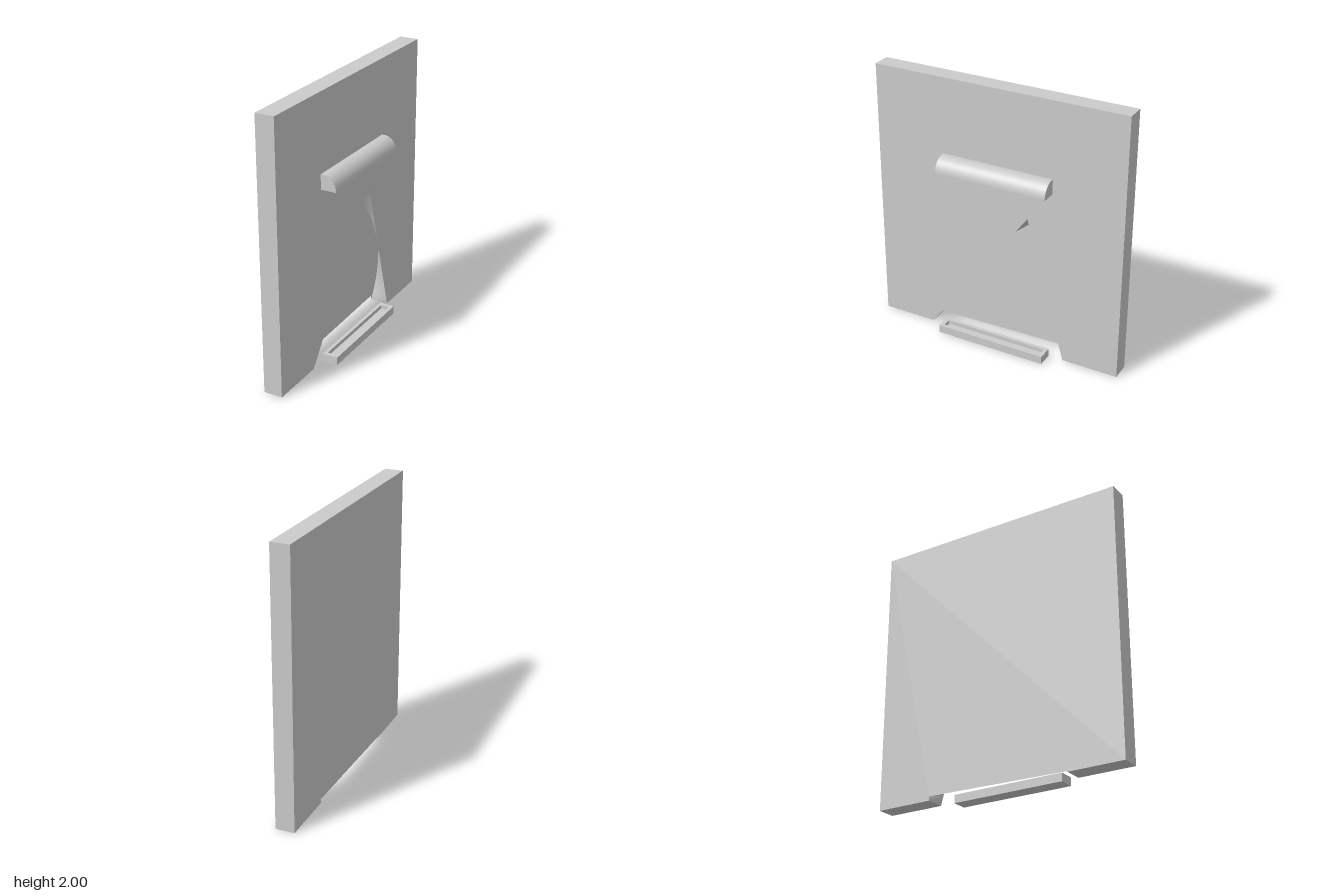
import * as THREE from 'three';

const FRONT = 0.01, BACK = -0.13, HALF = 0.965, TOP = 2;
const APEX = [-0.24, 1.08], LEFT = [0.55, 0], RIGHT = [-0.54, 0]; // [z, y]
const CENTRE = [0, 0.36], RADIUS = 0.65;

const material = new THREE.MeshStandardMaterial({ color: 0xcccccc, side: THREE.DoubleSide });

function addMesh(parent, name, geometry) {
  const mesh = new THREE.Mesh(geometry, material);
  mesh.name = name;
  parent.add(mesh);
  return mesh;
}

// Flat plate from [z, y] points, facing +x or -x
function plate(points, x, facing) {
  const shape = new THREE.Shape(points.map(([z, y]) => new THREE.Vector2(-z * facing, y)));
  return new THREE.ShapeGeometry(shape).rotateY(facing * Math.PI / 2).translate(x, 0, 0);
}

// Ruled strip between a front outline and a back outline of [z, y] points
function strip(front, back, smooth) {
  const pos = [], index = [];
  front.forEach(([z, y], i) => {
    pos.push(FRONT, y, z, BACK, back[i][1], back[i][0]);
    if (i) {
      const a = 2 * (i - 1);
      index.push(a, a + 2, a + 1, a + 1, a + 2, a + 3);
    }
  });
  let g = new THREE.BufferGeometry();
  g.setAttribute('position', new THREE.Float32BufferAttribute(pos, 3));
  g.setIndex(index);
  if (!smooth) g = g.toNonIndexed();
  g.computeVertexNormals();
  return g;
}

// Where a ray from the centre meets the line a-b
function hit(angle, a, b) {
  const dz = Math.cos(angle), dy = Math.sin(angle);
  const ez = b[0] - a[0], ey = b[1] - a[1];
  const t = ((a[0] - CENTRE[0]) * ey - (a[1] - CENTRE[1]) * ez) / (dz * ey - dy * ez);
  return [CENTRE[0] + t * dz, CENTRE[1] + t * dy];
}

// Cavity wall: triangular mouth in front opening out to a round back
function cavityWall() {
  const angleOf = ([z, y]) => Math.atan2(y - CENTRE[1], z - CENTRE[0]);
  const start = angleOf(LEFT), mid = angleOf(APEX), end = angleOf(RIGHT) + 2 * Math.PI;
  const mouth = [], round = [];
  const sweep = (from, to, a, b, n) => {
    for (let i = 0; i <= n; i++) {
      const t = from + (to - from) * i / n;
      mouth.push(hit(t, a, b));
      round.push([CENTRE[0] + RADIUS * Math.cos(t), Math.max(0, CENTRE[1] + RADIUS * Math.sin(t))]);
    }
  };
  sweep(start, mid, LEFT, APEX, 32);
  sweep(mid, end, APEX, RIGHT, 32);
  return strip(mouth.reverse(), round.reverse(), true);
}

// Bar along z with a closed-ended groove; profiles are in x, y
function groovedBar(name, solid, channel) {
  const group = new THREE.Group();
  group.name = name;
  const half = 0.428, end = 0.03;
  const piece = (label, shape, z, depth) => addMesh(group, label,
    new THREE.ExtrudeGeometry(shape, { depth, bevelEnabled: false, curveSegments: 16 }).translate(0, 0, z));
  piece('groovedMiddle', channel, -half + end, 2 * (half - end));
  piece('endBlock', solid, -half, end);
  piece('endBlock', solid, half - end, end);
  return group;
}

// Quarter-round profile, with an optional groove in the underside
function roundProfile(groove) {
  const s = new THREE.Shape();
  s.moveTo(FRONT, 1.32);
  if (groove) {
    s.lineTo(0.033, 1.32);
    s.lineTo(0.033, 1.365);
    s.lineTo(0.1, 1.365);
    s.lineTo(0.1, 1.32);
  }
  s.lineTo(0.127, 1.32);
  s.absellipse(0.03, 1.32, 0.097, 0.11, 0, Math.PI / 2);
  s.lineTo(FRONT, 1.43);
  s.closePath();
  return s;
}

// Rectangular profile, with an optional groove in the top
function trayProfile(groove) {
  const points = [[FRONT, 0], [0.127, 0], [0.127, 0.06]];
  if (groove) points.push([0.1, 0.06], [0.1, 0.03], [0.035, 0.03], [0.035, 0.06]);
  points.push([FRONT, 0.06]);
  return new THREE.Shape(points.map(p => new THREE.Vector2(...p)));
}

export function createModel() {
  const model = new THREE.Group();
  model.name = 'panelWithRails';

  // Slab: front with triangular mouth, notched back, edges and cavity
  const panel = new THREE.Group();
  panel.name = 'panel';
  const rim = [LEFT, [HALF, 0], [HALF, TOP], [-HALF, TOP], [-HALF, 0], RIGHT];
  addMesh(panel, 'panelFront', plate([...rim, APEX], FRONT, 1));
  addMesh(panel, 'panelBack', plate([...rim, [-0.54, 0.03], [0.55, 0.005]], BACK, -1));
  addMesh(panel, 'panelEdges', strip(rim, rim, false));
  addMesh(panel, 'cavityWall', cavityWall());
  model.add(panel);

  // Upper and lower rails
  model.add(groovedBar('upperRail', roundProfile(false), roundProfile(true)));
  model.add(groovedBar('lowerTray', trayProfile(false), trayProfile(true)));
  return model;
}
